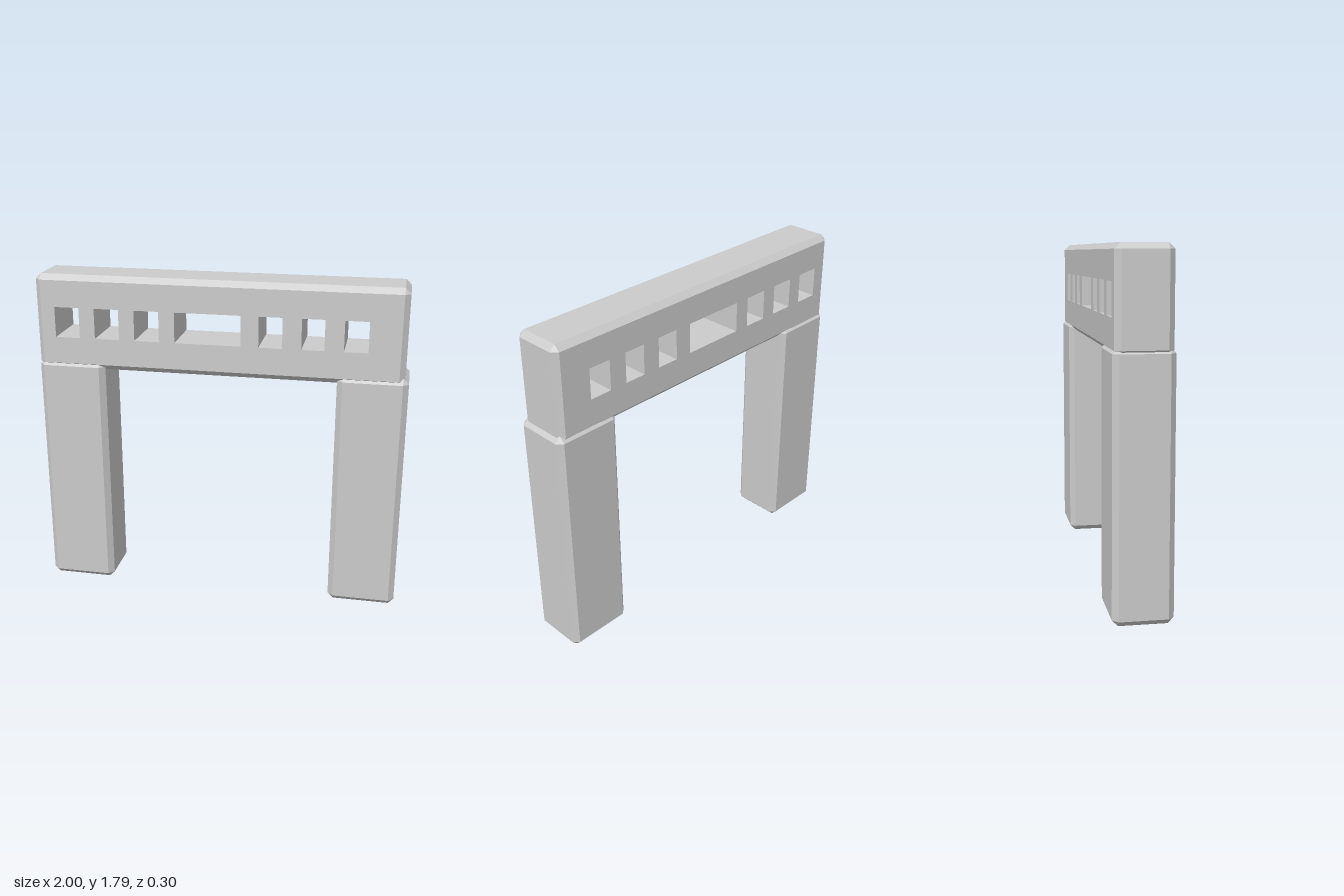
import * as THREE from 'three';
import { mergeGeometries } from 'three/addons/utils/BufferGeometryUtils.js';
import { ConvexGeometry } from 'three/addons/geometries/ConvexGeometry.js';

const CHAMFER = 0.03;

// Box with every edge cut at 45 degrees, given by its min and max corners
function chamferedBox(min, max, c = CHAMFER) {
  const center = min.map((v, i) => (v + max[i]) / 2);
  const half = min.map((v, i) => (max[i] - v) / 2);
  const points = [];
  for (const sx of [-1, 1]) for (const sy of [-1, 1]) for (const sz of [-1, 1]) {
    const sign = [sx, sy, sz];
    for (let axis = 0; axis < 3; axis++) {
      const p = sign.map((s, i) => center[i] + s * (half[i] - (i === axis ? 0 : c)));
      points.push(new THREE.Vector3(...p));
    }
  }
  return new ConvexGeometry(points);
}

// Keeps only the triangles whose centroid and normal pass the test
function keepFaces(geometry, test) {
  const source = geometry.index ? geometry.toNonIndexed() : geometry;
  const pos = source.attributes.position;
  const kept = [];
  const tri = new THREE.Triangle();
  const mid = new THREE.Vector3(), normal = new THREE.Vector3();
  for (let i = 0; i < pos.count; i += 3) {
    tri.setFromAttributeAndIndices(pos, i, i + 1, i + 2);
    tri.getMidpoint(mid);
    tri.getNormal(normal);
    if (test(mid, normal)) for (const v of [tri.a, tri.b, tri.c]) kept.push(v.x, v.y, v.z);
  }
  const result = new THREE.BufferGeometry();
  result.setAttribute('position', new THREE.Float32BufferAttribute(kept, 3));
  result.computeVertexNormals();
  return result;
}

function rectangle(path, x0, x1, y0, y1) {
  path.moveTo(x0, y0).lineTo(x1, y0).lineTo(x1, y1).lineTo(x0, y1).closePath();
  return path;
}

export function createModel() {
  const group = new THREE.Group();
  const material = new THREE.MeshStandardMaterial({
    color: 0xcccccc, flatShading: true, side: THREE.DoubleSide,
  });
  const add = (name, geometry) => {
    const mesh = new THREE.Mesh(geometry, material);
    mesh.name = name;
    group.add(mesh);
  };

  // Legs: hollow chamfered posts, open at both ends
  for (const [name, x0, x1] of [['rightLeg', -1, -0.63], ['leftLeg', 0.63, 1]]) {
    const post = chamferedBox([x0, 0, -0.15], [x1, 1.325, 0.15]);
    add(name, keepFaces(post, (mid, n) => Math.abs(n.y) < 0.99));
  }

  // Crossbeam: chamfered shell whose front and back are pierced by windows
  const x0 = -1, x1 = 0.98, y0 = 1.28, y1 = 1.795, depth = 0.14;
  const shell = keepFaces(
    chamferedBox([x0, y0, -depth], [x1, y1, depth]),
    (mid, n) => Math.abs(n.z) < 0.99,
  );

  const left = x0 + CHAMFER, right = x1 - CHAMFER;
  const bottom = y0 + CHAMFER, top = y1 - CHAMFER;
  const panel = rectangle(new THREE.Shape(), left, right, bottom, top);
  const windows = [
    [-0.895, -0.76], [-0.675, -0.54], [-0.455, -0.32], [-0.235, 0.12],
    [0.215, 0.34], [0.44, 0.56], [0.66, 0.785],
  ];
  for (const [a, b] of windows) {
    panel.holes.push(rectangle(new THREE.Path(), a, b, 1.455, 1.62));
  }
  const pierced = new THREE.ExtrudeGeometry(panel, { depth: 2 * depth, bevelEnabled: false });
  pierced.translate(0, 0, -depth);

  // Drop the panel's outer walls, which the shell replaces
  const e = 0.001;
  const faces = keepFaces(pierced, (m) =>
    m.x > left + e && m.x < right - e && m.y > bottom + e && m.y < top - e);
  add('crossbeam', mergeGeometries([shell, faces]));

  return group;
}
